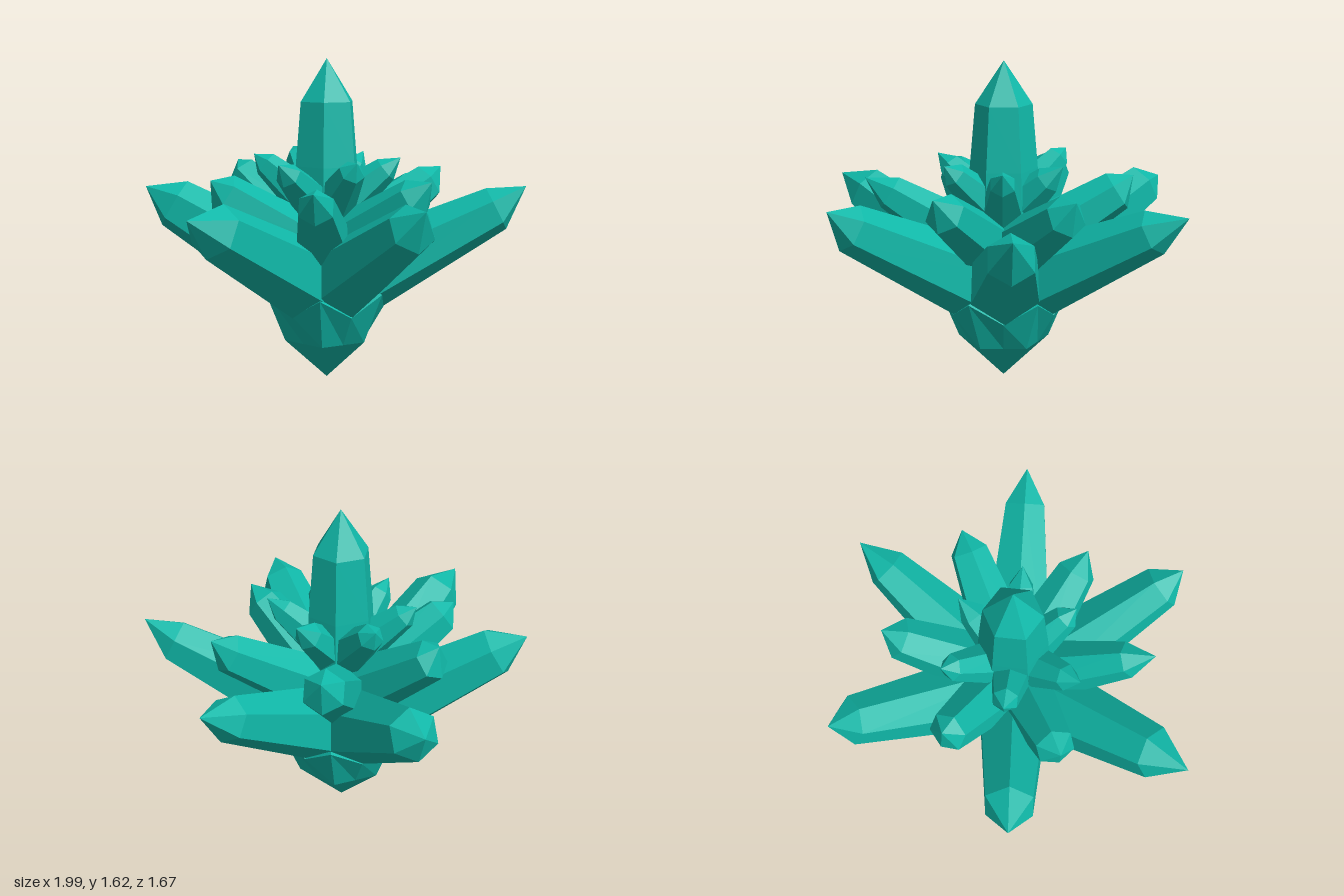
import * as THREE from 'three';

const material = new THREE.MeshStandardMaterial({ color: 0x10b8a8, flatShading: true });

// Faceted solid of revolution along y from [radius, height] pairs
function lathe(profile, sides) {
  return new THREE.LatheGeometry(profile.map(([r, y]) => new THREE.Vector2(r, y)), sides);
}

// Tapered six-sided crystal growing from start to tip, one ridge facing down;
// lift raises the point above the crystal's own axis
function crystal(name, start, tip, baseRadius, shoulderRadius, shoulderAt, lift) {
  const mesh = new THREE.Mesh(undefined, material);
  mesh.name = name;
  mesh.position.set(...start);
  mesh.lookAt(tip[0], tip[1] - lift, tip[2]);
  mesh.updateMatrixWorld();
  const point = mesh.worldToLocal(new THREE.Vector3(...tip));

  const geometry = lathe([
    [0, 0], [baseRadius, 0.01], [shoulderRadius, point.z * shoulderAt], [0, point.z],
  ], 6);
  geometry.rotateX(Math.PI / 2);
  const vertices = geometry.attributes.position;
  for (let i = 3; i < vertices.count; i += 4) vertices.setY(i, point.y);
  mesh.geometry = geometry;
  return mesh;
}

// Pointed root: six flat lower facets, then a zigzag rim that dips under each outer crystal
function root() {
  const geometry = lathe([[0, 0], [0.23, 0.22], [0.335, 0.48], [0, 0.6]], 12);
  const vertices = geometry.attributes.position;
  for (let side = 1; side < 12; side += 2) {
    const angle = side * Math.PI / 6;
    [[0.23 * Math.cos(Math.PI / 6), 0.22], [0.29, 0.38]].forEach(([r, y], ring) => {
      vertices.setXYZ(side * 4 + ring + 1, r * Math.sin(angle), y, r * Math.cos(angle));
    });
  }
  const mesh = new THREE.Mesh(geometry, material);
  mesh.name = 'root';
  return mesh;
}

// Each ring: start point, base radius, and [tip, shoulder radius, shoulder position, lift]
const rings = [
  {
    name: 'outerCrystal', start: [0.015, 0.45, 0], radius: 0.22,
    crystals: [
      [[0.99, 0.97, 0], 0.11, 0.83, 0],
      [[0.55, 1.0, 0.835], 0.115, 0.84, 0.04],
      [[-0.42, 1.0, 0.83], 0.115, 0.87, 0.03],
      [[-1.0, 0.96, 0], 0.13, 0.83, -0.02],
      [[-0.5, 0.99, -0.745], 0.13, 0.84, 0],
      [[0.5, 0.955, -0.84], 0.12, 0.89, -0.015],
    ],
  },
  {
    name: 'middleCrystal', start: [0.015, 0.62, 0], radius: 0.175,
    crystals: [
      [[0.01, 1.06, 0.61], 0.1, 0.84, 0.02],
      [[-0.57, 1.05, 0.35], 0.09, 0.82, 0],
      [[-0.49, 1.05, -0.32], 0.1, 0.88, 0.02],
      [[0.01, 1.09, -0.57], 0.1, 0.9, 0.05],
      [[0.57, 1.06, -0.33], 0.105, 0.86, 0.03],
      [[0.585, 1.06, 0.33], 0.1, 0.86, 0.03],
    ],
  },
  {
    name: 'innerCrystal', start: [0.015, 0.84, 0], radius: 0.13,
    crystals: [
      [[0.35, 1.14, 0], 0.07, 0.75, 0],
      [[0.2, 1.14, 0.32], 0.065, 0.8, 0],
      [[-0.14, 1.14, 0.29], 0.065, 0.84, 0],
      [[-0.37, 1.135, 0], 0.065, 0.8, 0],
      [[-0.16, 1.15, -0.32], 0.065, 0.84, 0],
      [[0.19, 1.16, -0.34], 0.065, 0.86, 0],
    ],
  },
];

export function createModel() {
  const model = new THREE.Group();
  model.name = 'crystalCluster';

  // Root and upright central spire
  const spire = new THREE.Mesh(lathe([
    [0, 0.5], [0.2, 0.52], [0.168, 1.1], [0.14, 1.415], [0, 1.625],
  ], 6), material);
  spire.name = 'centralSpire';
  const core = new THREE.Group();
  core.name = 'core';
  core.position.x = 0.02;
  core.add(root(), spire);
  model.add(core);

  // Three rings of crystals leaning outwards
  for (const ring of rings) {
    ring.crystals.forEach(([tip, ...shape], i) => {
      model.add(crystal(`${ring.name}${i + 1}`, ring.start, tip, ring.radius, ...shape));
    });
  }
  return model;
}
